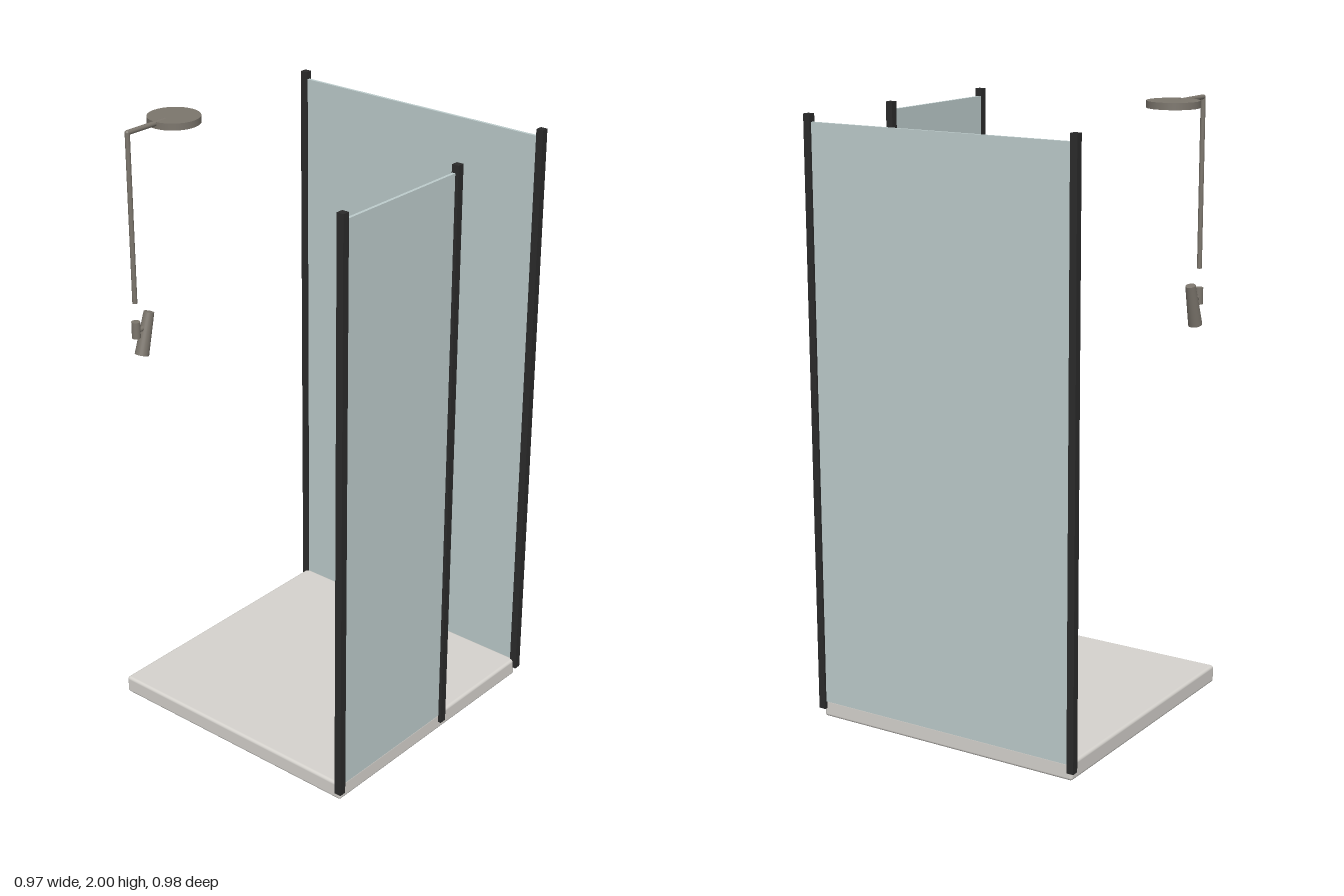
import * as THREE from 'three';
import { RoundedBoxGeometry } from 'three/addons/geometries/RoundedBoxGeometry.js';

const material = (color) => new THREE.MeshStandardMaterial({ color });

export function createModel() {
  const model = new THREE.Group();
  const black = material(0x2b2b2b);
  const glass = material(0xbdcccc);
  const stone = material(0xd6d3ce);
  const metal = material(0x7c766d);

  const add = (name, geometry, mat, x, y, z, parent = model) => {
    const mesh = new THREE.Mesh(geometry, mat);
    mesh.name = name;
    mesh.position.set(x, y, z);
    parent.add(mesh);
    return mesh;
  };

  const W = 0.473, front = 0.477, back = -0.469;
  const midZ = (front + back) / 2, depth = front - back;

  // Shower tray with softened edges
  add('tray', new RoundedBoxGeometry(2 * W, 0.06, depth, 3, 0.01), stone, 0, 0.03, midZ);

  // Slim square posts
  const posts = {
    frontRightPost: [-W, front], frontMiddlePost: [0.047, front],
    frontLeftPost: [W, front], backLeftPost: [W, back],
  };
  for (const [name, [x, z]] of Object.entries(posts))
    add(name, new THREE.BoxGeometry(0.024, 1.94, 0.024), black, x, 1.0, z);

  // Panes held between the posts, standing on the tray
  const paneHeight = 1.89, paneY = 1.0;
  add('frontPane', new THREE.BoxGeometry(0.52, paneHeight, 0.01), glass, -0.213, paneY, W);
  add('sidePane', new THREE.BoxGeometry(0.01, paneHeight, depth), glass, W, paneY, midZ);

  // Overhead shower: riser pipe, arm and round head
  const shower = new THREE.Group();
  shower.name = 'shower';
  model.add(shower);
  const px = -0.416, pz = -0.408, r = 0.008, armY = 1.992;
  add('riserPipe', new THREE.CylinderGeometry(r, r, 0.552, 20), metal, px, armY - 0.276, pz, shower);
  add('elbow', new THREE.SphereGeometry(r, 20, 12), metal, px, armY, pz, shower);
  const arm = add('arm', new THREE.CylinderGeometry(r, r, 0.16, 20), metal, px + 0.08, armY, pz, shower);
  arm.rotation.z = Math.PI / 2;
  add('showerHead', new THREE.CylinderGeometry(0.084, 0.084, 0.022, 48), metal, -0.216, 1.987, pz, shower);

  // Hand shower leaning beside its holder
  add('holder', new THREE.CylinderGeometry(0.014, 0.014, 0.055, 24), metal, px, 1.35, pz, shower);
  const link = add('holderArm', new THREE.CylinderGeometry(r, r, 0.04, 16), metal, px + 0.022, 1.345, pz, shower);
  link.rotation.z = Math.PI / 2;
  const hand = add('handShower', new THREE.CylinderGeometry(0.017, 0.023, 0.14, 24), metal, -0.376, 1.325, pz, shower);
  hand.rotation.z = -0.28;

  return model;
}
